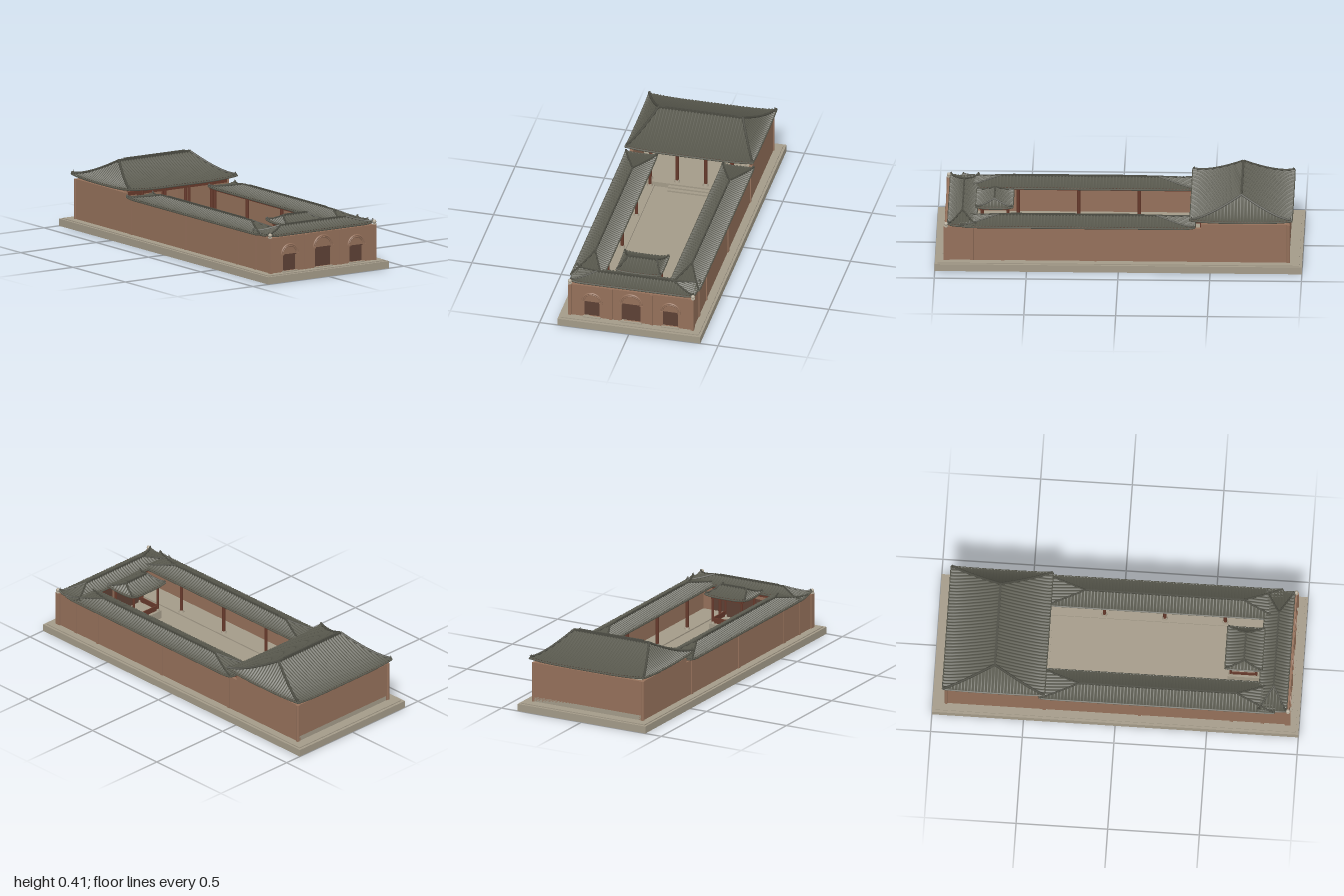
import * as THREE from 'three';

const mat = (name, color, extra = {}) => Object.assign(new THREE.MeshStandardMaterial({ color, ...extra }), { name });

export function createModel() {
  const root = new THREE.Group();
  root.name = 'courtyardTemple';
  const M = {
    stone: mat('paleStone', 0xa39a88),
    wall: mat('brickWall', 0x94705a),
    door: mat('darkWood', 0x5c4034),
    wood: mat('redWood', 0x66392b),
    tile: mat('roofTile', 0x59594e, { side: THREE.DoubleSide }),
    ridge: mat('ridgeTile', 0x4c4c43),
    finial: mat('finialStone', 0xb5ac9b),
    soffit: mat('soffitWood', 0x4d382d, { side: THREE.DoubleSide }),
  };
  const add = (name, geo, m, x = 0, y = 0, z = 0, parent = root) => {
    const mesh = new THREE.Mesh(geo, m);
    mesh.name = name;
    mesh.position.set(x, y, z);
    parent.add(mesh);
    return mesh;
  };
  // Box given by its extents
  const slab = (name, m, x0, x1, y0, y1, z0, z1) =>
    add(name, new THREE.BoxGeometry(x1 - x0, y1 - y0, z1 - z0), m, (x0 + x1) / 2, (y0 + y1) / 2, (z0 + z1) / 2);
  const column = (x, z, y0, y1, r = 0.009) => {
    add('column', new THREE.CylinderGeometry(r, r, y1 - y0, 12), M.wood, x, (y0 + y1) / 2, z);
    add('columnBase', new THREE.CylinderGeometry(r * 1.35, r * 1.9, 0.014, 12), M.stone, x, y0 + 0.007, z);
  };

  // Hipped roof with tile ribs, upturned corners, ridges and a soffit
  function hipRoof(name, { hx, hz, r, rise, flare, pitch = 0.018, power = 1.4, tube = 0.006 }) {
    const g = new THREE.Group();
    g.name = name;
    const surf = (x, z) => {
      const t = Math.max(0, Math.min(1, (hx - Math.abs(x)) / (hx - r), 1 - Math.abs(z) / hz));
      const cx = Math.max(0, 1 - (hx - Math.abs(x)) / hz), cz = Math.abs(z) / hz;
      return rise * Math.pow(t, power) + flare * Math.pow(cx * cz, 3);
    };
    const shell = (ribH, drop) => {
      const pos = [], idx = [], rows = 7;
      for (const end of [false, true]) for (const s of [-1, 1]) {
        const half = end ? hz : hx, n = Math.max(4, Math.round((2 * half) / pitch)), step = (2 * half) / n;
        const cols = [];
        for (let i = 0; i < n; i++)
          [[0, 0], [0.3, 0], [0.42, 0.85], [0.65, 1], [0.88, 0.85]].forEach(([f, h]) => cols.push([-half + (i + f) * step, h]));
        cols.push([half, 0]);
        const start = pos.length / 3;
        for (const [u, h] of cols) {
          const tMax = end ? 1 - Math.abs(u) / hz : Math.min(1, (hx - Math.abs(u)) / (hx - r));
          for (let k = 0; k <= rows; k++) {
            const t = (tMax * k) / rows;
            const x = end ? s * (hx - (hx - r) * t) : u, z = end ? u : s * hz * (1 - t);
            pos.push(x, surf(x, z) + h * ribH - drop, z);
          }
        }
        for (let c = 0; c < cols.length - 1; c++) for (let k = 0; k < rows; k++) {
          const a = start + c * (rows + 1) + k, b = a + rows + 1;
          if ((s > 0) !== end) idx.push(a, b, b + 1, a, b + 1, a + 1);
          else idx.push(a, b + 1, b, a, a + 1, b + 1);
        }
      }
      const geo = new THREE.BufferGeometry();
      geo.setAttribute('position', new THREE.Float32BufferAttribute(pos, 3));
      geo.setIndex(idx);
      geo.computeVertexNormals();
      return geo;
    };
    add('tiles', shell(0.006, 0), M.tile, 0, 0, 0, g);
    add('soffit', shell(0, 0.008), M.soffit, 0, 0, 0, g);
    const rail = (label, fn, n, rad, m) => {
      const pts = Array.from({ length: n + 1 }, (_, i) => fn(i / n));
      add(label, new THREE.TubeGeometry(new THREE.CatmullRomCurve3(pts), n * 2, rad, 6), m, 0, 0, 0, g);
    };
    // Hip ridges with raised tips
    for (const sx of [-1, 1]) for (const sz of [-1, 1]) {
      rail('hipRidge', (t) => {
        const x = sx * (hx - (hx - r) * t), z = sz * hz * (1 - t);
        return new THREE.Vector3(x, surf(x, z) + 0.005, z);
      }, 10, tube, M.ridge);
      add('hipTip', new THREE.ConeGeometry(tube, tube * 3, 6), M.ridge, sx * (hx - tube), flare + tube * 1.6, sz * (hz - tube), g);
    }
    // Eave edges
    for (const s of [-1, 1]) {
      rail('eaveEdge', (t) => new THREE.Vector3((2 * t - 1) * hx, surf((2 * t - 1) * hx, hz) - 0.003, s * hz), 40, 0.005, M.tile);
      rail('eaveEdge', (t) => new THREE.Vector3(s * hx, surf(hx, (2 * t - 1) * hz) - 0.003, (2 * t - 1) * hz), 24, 0.005, M.tile);
    }
    // Main ridge
    add('mainRidge', new THREE.BoxGeometry(r * 2, tube * 2, tube * 1.8), M.ridge, 0, rise + tube * 0.5, 0, g);
    add('ridgeCap', new THREE.BoxGeometry(r * 1.7, tube, tube * 1.3), M.ridge, 0, rise + tube * 1.7, 0, g);
    root.add(g);
    return g;
  }

  // Base and floors
  slab('basePlinth', M.stone, -0.4, 0.4, 0, 0.04, -1, 1);
  slab('baseStep', M.stone, -0.387, 0.387, 0.04, 0.045, -0.985, 0.985);
  slab('hallPlatform', M.stone, -0.34, 0.34, 0.045, 0.072, -0.93, -0.42);
  [0.063, 0.054].forEach((y, i) => slab('hallStep', M.stone, -0.12, 0.12, 0.045, y, -0.42, -0.4 + i * 0.02));

  // Front wall with three doorways
  const doors = [
    { x: -0.22, w: 0.043, h: 0.142, R: 0.05 },
    { x: 0, w: 0.053, h: 0.158, R: 0.058 },
    { x: 0.22, w: 0.043, h: 0.142, R: 0.05 },
  ];
  const rect = (S, x0, x1, y0, y1) => new S([[x0, y0], [x1, y0], [x1, y1], [x0, y1]].map(([x, y]) => new THREE.Vector2(x, y)));
  const front = rect(THREE.Shape, -0.35, 0.35, 0.045, 0.24);
  doors.forEach((d) => front.holes.push(rect(THREE.Path, d.x - d.w, d.x + d.w, 0.05, d.h)));
  add('frontWall', new THREE.ExtrudeGeometry(front, { depth: 0.025, bevelEnabled: false }), M.wall, 0, 0, 0.92);
  doors.forEach((d) => {
    slab('doorPanel', M.door, d.x - d.w, d.x + d.w, 0.05, d.h, 0.924, 0.936);
    slab('doorLintel', M.door, d.x - d.w, d.x + d.w, d.h - 0.006, d.h, 0.93, 0.947);
    slab('doorSill', M.stone, d.x - d.w - 0.006, d.x + d.w + 0.006, 0.045, 0.05, 0.92, 0.96);
    for (const [R, t] of [[d.R + 0.003, 0.0055], [d.R - 0.005, 0.004]])
      add('archMoulding', new THREE.TorusGeometry(R, t, 8, 24, Math.PI), M.wall, d.x, d.h, 0.946);
    for (const s of [-1, 1])
      slab('archFoot', M.wall, d.x + s * d.R - 0.009, d.x + s * d.R + 0.009, d.h - 0.004, d.h + 0.002, 0.94, 0.953);
  });
  for (const s of [-1, 1]) slab('frontPilaster', M.wall, s * 0.114 - 0.008, s * 0.114 + 0.008, 0.045, 0.238, 0.94, 0.951);

  // Mirrored side walls, pilasters and galleries
  for (const s of [-1, 1]) {
    const side = (name, m, x0, x1, y0, y1, z0, z1) => slab(name, m, Math.min(s * x0, s * x1), Math.max(s * x0, s * x1), y0, y1, z0, z1);
    side('sideWall', M.wall, 0.325, 0.345, 0.045, 0.24, -0.45, 0.94);
    side('hallSideWall', M.wall, 0.325, 0.345, 0.045, 0.267, -0.93, -0.45);
    for (const z of [0.8, 0.63, 0.13, -0.39]) side('sidePilaster', M.wall, 0.34, 0.35, 0.045, 0.24, z - 0.009, z + 0.009);
    side('frontCornerPost', M.wall, 0.335, 0.351, 0.045, 0.24, 0.925, 0.953);
    add('rearCornerPost', new THREE.CylinderGeometry(0.01, 0.01, 0.222, 12), M.wall, s * 0.341, 0.156, -0.925);
    add('finialCap', new THREE.CylinderGeometry(0.011, 0.011, 0.006, 12), M.finial, s * 0.345, 0.243, 0.94);
    add('finialBall', new THREE.SphereGeometry(0.011, 12, 8), M.finial, s * 0.345, 0.256, 0.94);
    side('galleryFloor', M.stone, 0.2, 0.325, 0.045, 0.052, -0.42, 0.92);
    side('galleryBeam', M.wood, 0.217, 0.229, 0.222, 0.238, -0.45, 0.8);
    for (const z of [0.56, 0.23, -0.1, -0.41]) {
      column(s * 0.223, z, 0.05, 0.24);
      side('crossBeam', M.wood, 0.223, 0.33, 0.224, 0.236, z - 0.005, z + 0.005);
    }
    // Hall columns
    for (const x of [0.08, 0.23]) for (const z of [-0.45, -0.7]) column(s * x, z, 0.072, z < -0.5 ? 0.31 : 0.28);
    // Stage columns and rail
    for (const z of [0.61, 0.75]) column(s * 0.09, z, 0.09, 0.255, 0.007);
    side('stageRail', M.wood, 0.087, 0.093, 0.095, 0.125, 0.61, 0.75);
    const g = hipRoof('galleryRoof', { hx: 0.64, hz: 0.088, r: 0.43, rise: 0.036, flare: 0.008, tube: 0.005 });
    g.rotation.y = Math.PI / 2;
    g.position.set(s * 0.271, 0.246, 0.225);
  }

  // Rear hall
  slab('rearWall', M.wall, -0.34, 0.34, 0.045, 0.267, -0.93, -0.91);
  slab('hallBeam', M.wood, -0.325, 0.325, 0.25, 0.27, -0.457, -0.443);
  hipRoof('hallRoof', { hx: 0.357, hz: 0.277, r: 0.235, rise: 0.11, flare: 0.012, tube: 0.007 }).position.set(0, 0.284, -0.667);

  // Gatehouse
  hipRoof('gateRoof', { hx: 0.348, hz: 0.077, r: 0.215, rise: 0.033, flare: 0.012, tube: 0.005 }).position.set(0, 0.248, 0.853);
  slab('gateBeam', M.wood, -0.325, 0.325, 0.225, 0.24, 0.788, 0.8);
  for (const x of [-0.15, 0.15]) column(x, 0.794, 0.05, 0.24);

  // Stage pavilion
  slab('stagePlatform', M.stone, -0.105, 0.105, 0.045, 0.092, 0.595, 0.77);
  slab('stageBackWall', M.door, -0.09, 0.09, 0.092, 0.25, 0.748, 0.756);
  slab('stageRail', M.wood, -0.09, 0.09, 0.095, 0.125, 0.607, 0.613);
  for (const z of [0.61, 0.75]) slab('stageBeam', M.wood, -0.1, 0.1, 0.235, 0.253, z - 0.005, z + 0.005);
  for (const x of [-0.09, 0.09]) slab('stageBeam', M.wood, x - 0.005, x + 0.005, 0.235, 0.253, 0.6, 0.76);
  hipRoof('stageRoof', { hx: 0.124, hz: 0.1, r: 0.08, rise: 0.037, flare: 0.01, tube: 0.005 }).position.set(0, 0.256, 0.682);

  return root;
}
